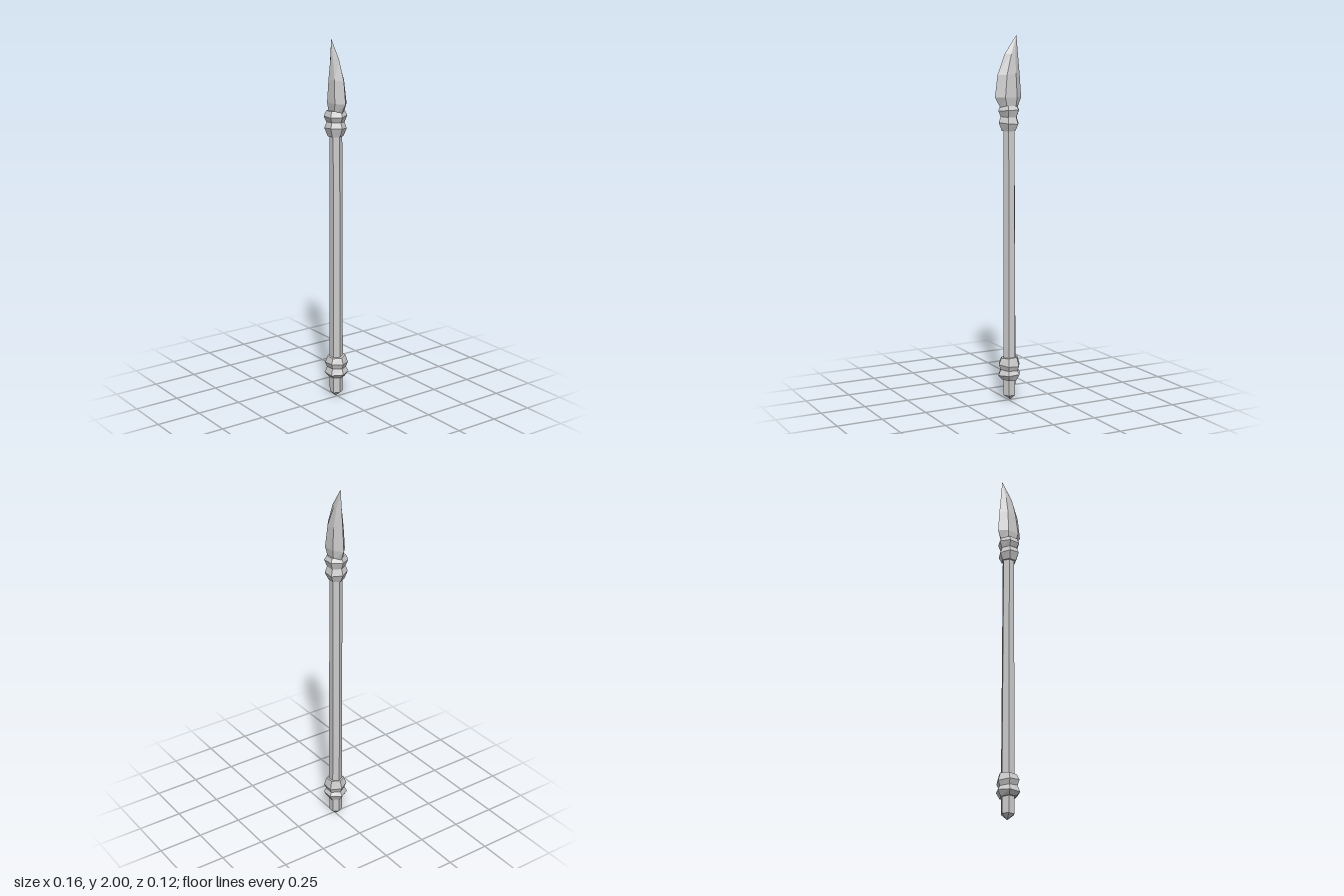
import * as THREE from 'three';

const material = new THREE.MeshStandardMaterial({ color: 0xcccccc, flatShading: true });

// Skins a stack of equal-sized rings (listed bottom to top) and caps both ends.
function loft(name, rings, bottom, top) {
  const n = rings[0].length;
  const centre = (ring) => ring.reduce((s, p) => s.add(p), new THREE.Vector3()).divideScalar(n);
  const lo = bottom ?? centre(rings[0]);
  const hi = top ?? centre(rings[rings.length - 1]);
  const points = [];
  for (let i = 0; i < n; i++) {
    const j = (i + 1) % n;
    points.push(lo, rings[0][i], rings[0][j]);
    for (let k = 0; k + 1 < rings.length; k++) {
      const [a, b] = [rings[k], rings[k + 1]];
      points.push(a[i], b[i], a[j], a[j], b[i], b[j]);
    }
    const last = rings[rings.length - 1];
    points.push(hi, last[j], last[i]);
  }
  const geometry = new THREE.BufferGeometry().setFromPoints(points);
  geometry.computeVertexNormals();
  const mesh = new THREE.Mesh(geometry, material);
  mesh.name = name;
  return mesh;
}

// Hexagon with corners on the x axis; tilt lifts one side for a hand-cut look.
function hexRing(y, r, cx = -0.007, cz = 0.003, tilt = 0) {
  return Array.from({ length: 6 }, (_, i) => {
    const a = (i * Math.PI) / 3;
    return new THREE.Vector3(
      cx + r * Math.cos(a),
      y + tilt * Math.sin(a + 0.6),
      cz + r * Math.sin(a)
    );
  });
}

// Blade section: two sharp edges joined by a pair of ridges on each face.
function bladeRing([y, left, right, ridgeA, ridgeB, depth]) {
  const z = 0.004;
  return [
    [right, z], [ridgeB, z + depth], [ridgeA, z + depth],
    [left, z], [ridgeA, z - depth], [ridgeB, z - depth],
  ].map(([x, zz]) => new THREE.Vector3(x, y, zz));
}

export function createModel() {
  const group = new THREE.Group();
  group.name = 'spear';

  // Shaft with a blunt pointed butt
  group.add(loft('shaft', [
    hexRing(0.03, 0.036, -0.008, 0.003),
    hexRing(0.2, 0.037, -0.008, 0.002),
    hexRing(1.56, 0.034, -0.006, 0.006),
  ], new THREE.Vector3(-0.012, 0, 0.003)));

  // Double-ridged collars: [height, radius, tilt]
  const collar = (name, cz, profile) => group.add(
    loft(name, profile.map(([y, r, tilt]) => hexRing(y, r, -0.006, cz, tilt)))
  );
  collar('lowerCollar', 0.002, [
    [0.12, 0.046, 0.004], [0.148, 0.067, -0.004], [0.176, 0.053, 0.004],
    [0.203, 0.064, 0.006], [0.243, 0.05, -0.004],
  ]);
  collar('upperCollar', 0.008, [
    [1.49, 0.042, 0], [1.533, 0.06, 0.006], [1.566, 0.048, 0.003],
    [1.6, 0.063, -0.004], [1.627, 0.05, 0.002],
  ]);

  // Asymmetric blade: [height, left edge, right edge, ridges, half thickness]
  group.add(loft('blade', [
    [1.61, -0.055, 0.043, -0.03, 0.02, 0.03],
    [1.67, -0.079, 0.079, -0.035, 0.035, 0.038],
    [1.79, -0.07, 0.063, -0.032, 0.022, 0.031],
    [1.9, -0.059, 0.02, -0.035, -0.012, 0.016],
  ].map(bladeRing), null, new THREE.Vector3(-0.05, 2, 0.004)));

  return group;
}
